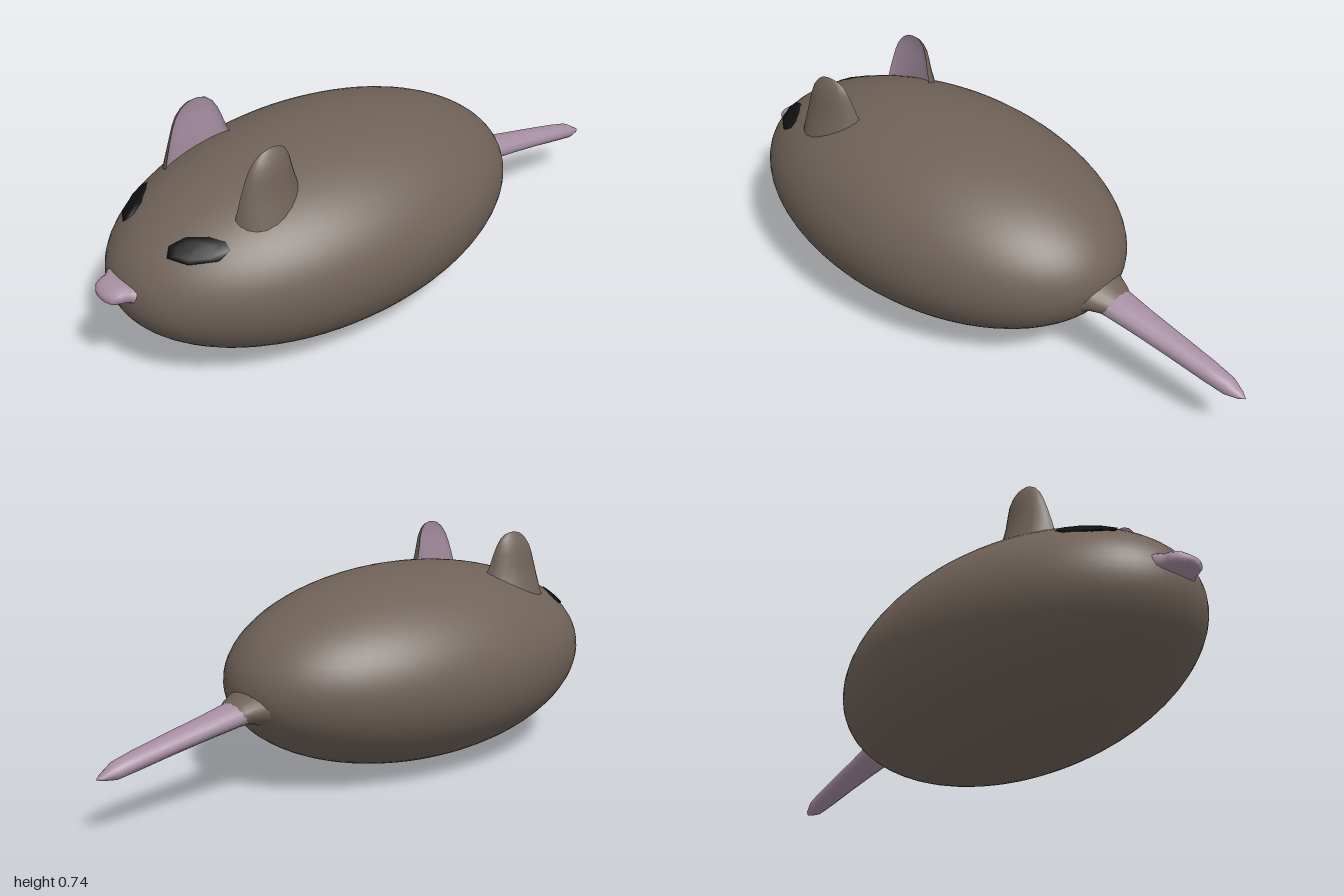
import * as THREE from 'three';

const FUR = new THREE.MeshStandardMaterial({ color: 0x6f6258 });
const EAR_FUR = new THREE.MeshStandardMaterial({ color: 0x6f6258, side: THREE.DoubleSide });
const PINK = new THREE.MeshStandardMaterial({ color: 0xa78fa3 });
const EAR_PINK = new THREE.MeshStandardMaterial({ color: 0xa78fa3, side: THREE.DoubleSide });
const BLACK = new THREE.MeshStandardMaterial({ color: 0x111111, side: THREE.DoubleSide });

const CENTER = new THREE.Vector3(0, 0.328, 0.23);
const RADII = new THREE.Vector3(0.431, 0.324, 0.715);

// Skin over rows of points; closed joins the last column to the first
function skin(rows, closed, flip = false) {
  const n = rows[0].length, index = [];
  for (let i = 0; i < rows.length - 1; i++) {
    for (let j = 0; j < (closed ? n : n - 1); j++) {
      const k = (j + 1) % n;
      const a = i * n + j, b = i * n + k, c = (i + 1) * n + k, d = (i + 1) * n + j;
      index.push(...(flip ? [a, d, b, b, d, c] : [a, b, d, b, c, d]));
    }
  }
  const geo = new THREE.BufferGeometry().setFromPoints(rows.flat());
  geo.setIndex(index);
  geo.computeVertexNormals();
  return geo;
}

// Elliptical ring at z; dir is the direction in which the rings advance
function ring([z, y, rx, ry], sides, dir, power = 1) {
  const soft = (v) => Math.sign(v) * Math.abs(v) ** power;
  return Array.from({ length: sides }, (_, j) => {
    const a = (j / sides) * Math.PI * 2;
    return new THREE.Vector3(dir * rx * soft(Math.cos(a)), y + ry * soft(Math.sin(a)), z);
  });
}

function part(name, geo, material) {
  const mesh = new THREE.Mesh(geo, material);
  mesh.name = name;
  return mesh;
}

// Ear rows: y, outer x, front edge x, back edge x, front z, back z
const EAR = [
  [0.53, 0.262, 0.180, 0.145, 0.655, 0.40],
  [0.59, 0.243, 0.183, 0.155, 0.638, 0.42],
  [0.63, 0.233, 0.185, 0.164, 0.626, 0.435],
  [0.67, 0.227, 0.187, 0.170, 0.612, 0.447],
  [0.70, 0.220, 0.189, 0.176, 0.598, 0.456],
  [0.725, 0.209, 0.190, 0.181, 0.578, 0.470],
  [0.740, 0.199, 0.191, 0.186, 0.556, 0.488],
  [0.746, 0.191, 0.191, 0.190, 0.530, 0.512],
];

function ear(side) {
  const STEPS = 12;
  const surface = (depth, reverse) => EAR.map(([y, xo, xf, xb, zf, zb]) => {
    const row = [];
    for (let j = 0; j <= STEPS; j++) {
      const t = reverse ? 1 - j / STEPS : j / STEPS, a = t * Math.PI;
      const bulge = (xo - (xf + xb) / 2) * depth * Math.sin(a);
      const z = (zf + zb) / 2 + ((zf - zb) / 2) * Math.cos(a);
      row.push(new THREE.Vector3(side * (xf + (xb - xf) * t + bulge), y, z));
    }
    return row;
  });
  const group = new THREE.Group();
  group.name = side > 0 ? 'leftEar' : 'rightEar';
  group.add(part('outerEar', skin(surface(1, false), false, side < 0), EAR_FUR));
  group.add(part('innerEar', skin(surface(0.4, true), false, side < 0), EAR_PINK));
  return group;
}

// Faceted eye patch laid just above the curve of the head
const EYE = [[0.102, 0.499], [0.120, 0.477], [0.178, 0.470], [0.228, 0.480],
  [0.230, 0.500], [0.205, 0.517], [0.165, 0.524], [0.120, 0.519]];

function eye(side) {
  const onHead = (x, y, lift) => {
    const u = x / RADII.x, v = (y - CENTER.y) / RADII.y;
    return new THREE.Vector3(side * x, y, CENTER.z + RADII.z * Math.sqrt(1 - u * u - v * v) + lift);
  };
  const rows = [0.97, 1, 0.66, 0.33, 0].map((s, i) => EYE.map(([x, y]) =>
    onHead(0.166 + (x - 0.166) * s, 0.497 + (y - 0.497) * s, i === 0 ? -0.02 : 0.009)));
  return part(side > 0 ? 'leftEye' : 'rightEye', skin(rows, true, side < 0), BLACK);
}

export function createModel() {
  const model = new THREE.Group();
  model.name = 'mouse';

  // Egg-shaped body and head in one
  const bodyGeo = new THREE.SphereGeometry(1, 64, 40);
  bodyGeo.scale(RADII.x, RADII.y, RADII.z);
  bodyGeo.translate(CENTER.x, CENTER.y, CENTER.z);
  model.add(part('body', bodyGeo, FUR));

  // Flat, rounded snout
  const noseRows = [
    [0.88, 0.355, 0.092, 0.031], [0.925, 0.355, 0.086, 0.031], [0.945, 0.355, 0.066, 0.027],
    [0.965, 0.355, 0.060, 0.026], [0.985, 0.353, 0.050, 0.021], [0.997, 0.352, 0.030, 0.012],
    [1.0, 0.352, 0, 0],
  ];
  model.add(part('nose', skin(noseRows.map((r) => ring(r, 16, 1, 0.7)), true), PINK));

  // Fur flaring out to meet the tail
  const flareRows = [
    [-0.37, 0.30, 0.185, 0.105], [-0.43, 0.295, 0.125, 0.072],
    [-0.475, 0.288, 0.085, 0.050], [-0.515, 0.281, 0.066, 0.038], [-0.53, 0.278, 0.055, 0.030],
  ];
  model.add(part('tailBase', skin(flareRows.map((r) => ring(r, 20, -1)), true), FUR));

  // Tapering tail
  const tailRows = [
    [-0.44, 0.280, 0.070, 0.038], [-0.52, 0.274, 0.063, 0.037], [-0.62, 0.255, 0.053, 0.034],
    [-0.75, 0.231, 0.045, 0.031], [-0.87, 0.207, 0.038, 0.029], [-0.94, 0.192, 0.031, 0.026],
    [-0.98, 0.182, 0.016, 0.010], [-1.0, 0.178, 0, 0],
  ];
  model.add(part('tail', skin(tailRows.map((r) => ring(r, 12, -1)), true), PINK));

  for (const side of [1, -1]) model.add(ear(side), eye(side));
  return model;
}
